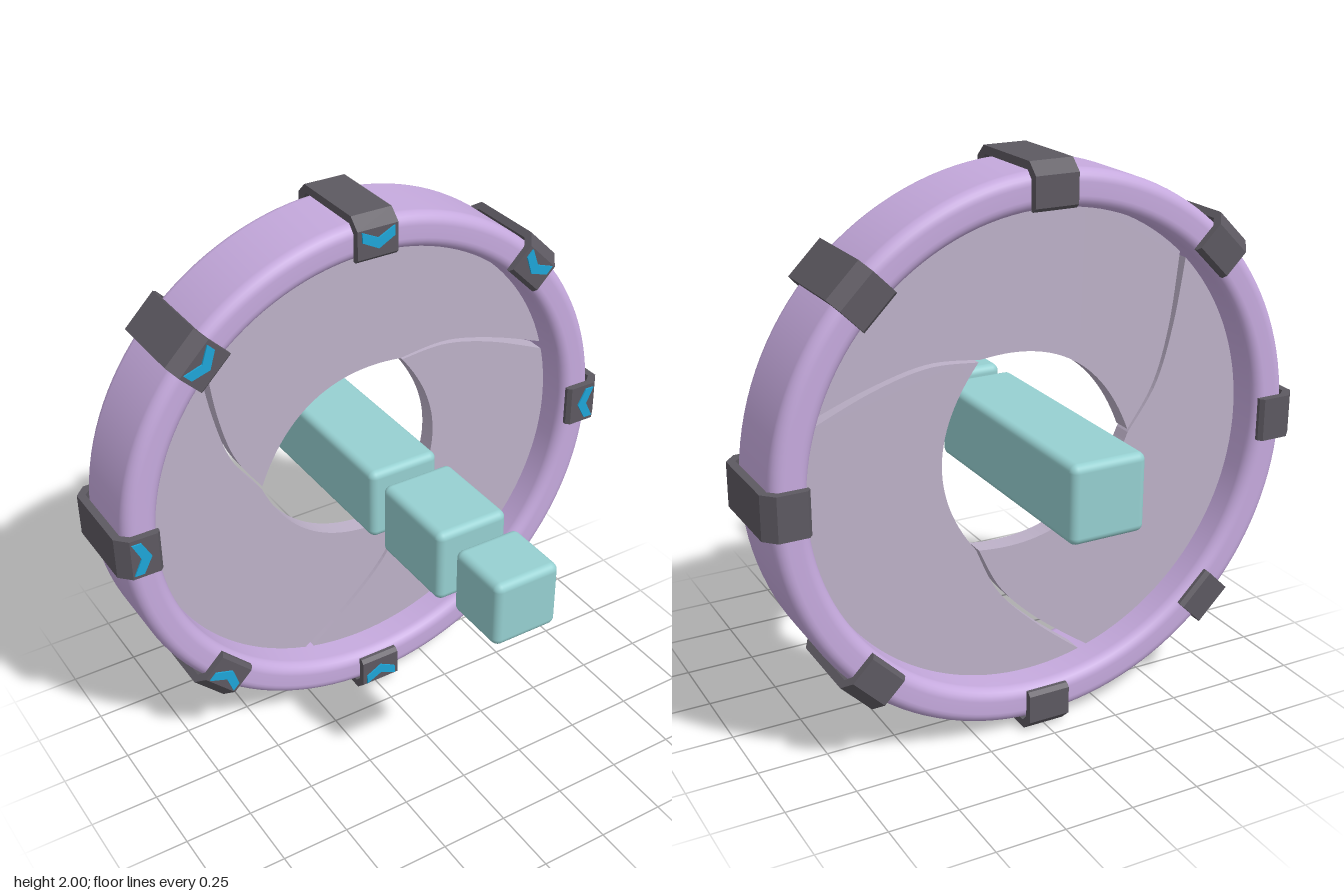
import * as THREE from 'three';
import { RoundedBoxGeometry } from 'three/addons/geometries/RoundedBoxGeometry.js';

const mat = (name, color) => {
  const m = new THREE.MeshStandardMaterial({ color });
  m.name = name;
  return m;
};
const V = (x, y) => new THREE.Vector2(x, y);

function part(name, geometry, material) {
  const mesh = new THREE.Mesh(geometry, material);
  mesh.name = name;
  return mesh;
}

// Hoop with a rounded rectangular section, axis along z
function hoopGeometry(rIn, rOut, half, round) {
  const pts = [V(rIn, 0)];
  const corner = (cx, cy, start) => {
    for (let i = 0; i <= 6; i++) {
      const a = start + (i / 6) * Math.PI / 2;
      pts.push(V(cx + round * Math.cos(a), cy + round * Math.sin(a)));
    }
  };
  corner(rIn + round, -half + round, Math.PI);
  corner(rOut - round, -half + round, -Math.PI / 2);
  corner(rOut - round, half - round, 0);
  corner(rIn + round, half - round, Math.PI / 2);
  pts.push(V(rIn, 0));
  return new THREE.LatheGeometry(pts, 128).rotateX(Math.PI / 2);
}

// One iris blade: curved side, outer arc, curved side, inner arc
function bladeGeometry(radius, depth) {
  const turn = -Math.PI * 2 / 3;
  const near = new THREE.SplineCurve([V(-0.388, 0), V(-0.487, 0.155), V(-0.545, 0.36), V(-0.578, 0.623)]);
  const far = new THREE.SplineCurve([V(-0.39, -0.012), V(-0.5, 0.15), V(-0.563, 0.36), V(-0.603, 0.599)]);
  const origin = V(0, 0);
  const nearPts = near.getPoints(20);
  const farPts = far.getPoints(20).map((p) => p.rotateAround(origin, turn)).reverse();
  const a0 = nearPts[20].angle(), a1 = farPts[0].angle();
  const arc = [];
  for (let i = 1; i < 48; i++) {
    const a = a0 + (a1 - a0) * i / 48;
    arc.push(V(radius * Math.cos(a), radius * Math.sin(a)));
  }
  const inner = new THREE.QuadraticBezierCurve(farPts[20], V(-0.2285, 0.4), nearPts[0]).getPoints(28).slice(1, -1);
  const shape = new THREE.Shape([...nearPts, ...arc, ...farPts, ...inner]);
  return new THREE.ExtrudeGeometry(shape, { depth, bevelEnabled: false }).translate(0, 0, -depth / 2);
}

// U-shaped clip with chamfered corners, wrapped over the hoop at its top
function clipGeometry(width) {
  const half = [[0.165, 0.86], [0.165, 0.945], [0.14, 0.972]];
  const outer = [[0.15, 1], [0.192, 0.96], [0.192, 0.858], [0.178, 0.845], [0.165, 0.845]];
  const right = [...outer, ...half];
  const left = right.map(([u, v]) => [-u, v]).reverse();
  const shape = new THREE.Shape([...right, ...left].map(([u, v]) => V(u, v)));
  return new THREE.ExtrudeGeometry(shape, { depth: width, bevelEnabled: false })
    .translate(0, 0, -width / 2)
    .rotateY(-Math.PI / 2);
}

// Chevron plate pointing at the hoop centre
function chevronGeometry() {
  const shape = new THREE.Shape([
    V(-0.062, 0.955), V(0, 0.925), V(0.062, 0.955),
    V(0.062, 0.92), V(0, 0.887), V(-0.062, 0.92),
  ]);
  return new THREE.ExtrudeGeometry(shape, { depth: 0.008, bevelEnabled: false }).translate(0, 0, 0.19);
}

export function createModel() {
  const lilac = mat('lilac', 0xc6aade);
  const greyLilac = mat('grey lilac', 0xbdb1c8);
  const charcoal = mat('charcoal', 0x5d5961);
  const teal = mat('teal', 0x96d0d1);
  const blue = mat('bright blue', 0x1ea6d8);

  const model = new THREE.Group();
  model.name = 'irisRing';

  // Hoop assembly
  const hoop = new THREE.Group();
  hoop.name = 'hoopAssembly';
  hoop.position.set(0, 1, -0.27);
  hoop.add(part('hoop', hoopGeometry(0.84, 0.968, 0.16, 0.042), lilac));

  // Three iris blades
  const blade = bladeGeometry(0.85, 0.07);
  for (let i = 0; i < 3; i++) {
    const mesh = part('irisBlade', blade, greyLilac);
    mesh.rotation.z = i * Math.PI * 2 / 3;
    hoop.add(mesh);
  }

  // Eight clips with chevrons
  const clip = clipGeometry(0.155), chevron = chevronGeometry();
  for (let i = 0; i < 8; i++) {
    const group = new THREE.Group();
    group.name = 'clip';
    group.add(part('clipBracket', clip, charcoal), part('clipChevron', chevron, blue));
    group.rotation.z = i * Math.PI / 4;
    hoop.add(group);
  }
  model.add(hoop);

  // Row of blocks through the opening: name, side, back z, front z
  for (const [name, side, z0, z1] of [
    ['longBar', 0.27, -0.81, 0.09],
    ['middleBlock', 0.27, 0.155, 0.505],
    ['frontBlock', 0.242, 0.57, 0.81],
  ]) {
    const mesh = part(name, new RoundedBoxGeometry(side, side, z1 - z0, 4, 0.027), teal);
    mesh.position.set(0, 1.005, (z0 + z1) / 2);
    model.add(mesh);
  }
  return model;
}
